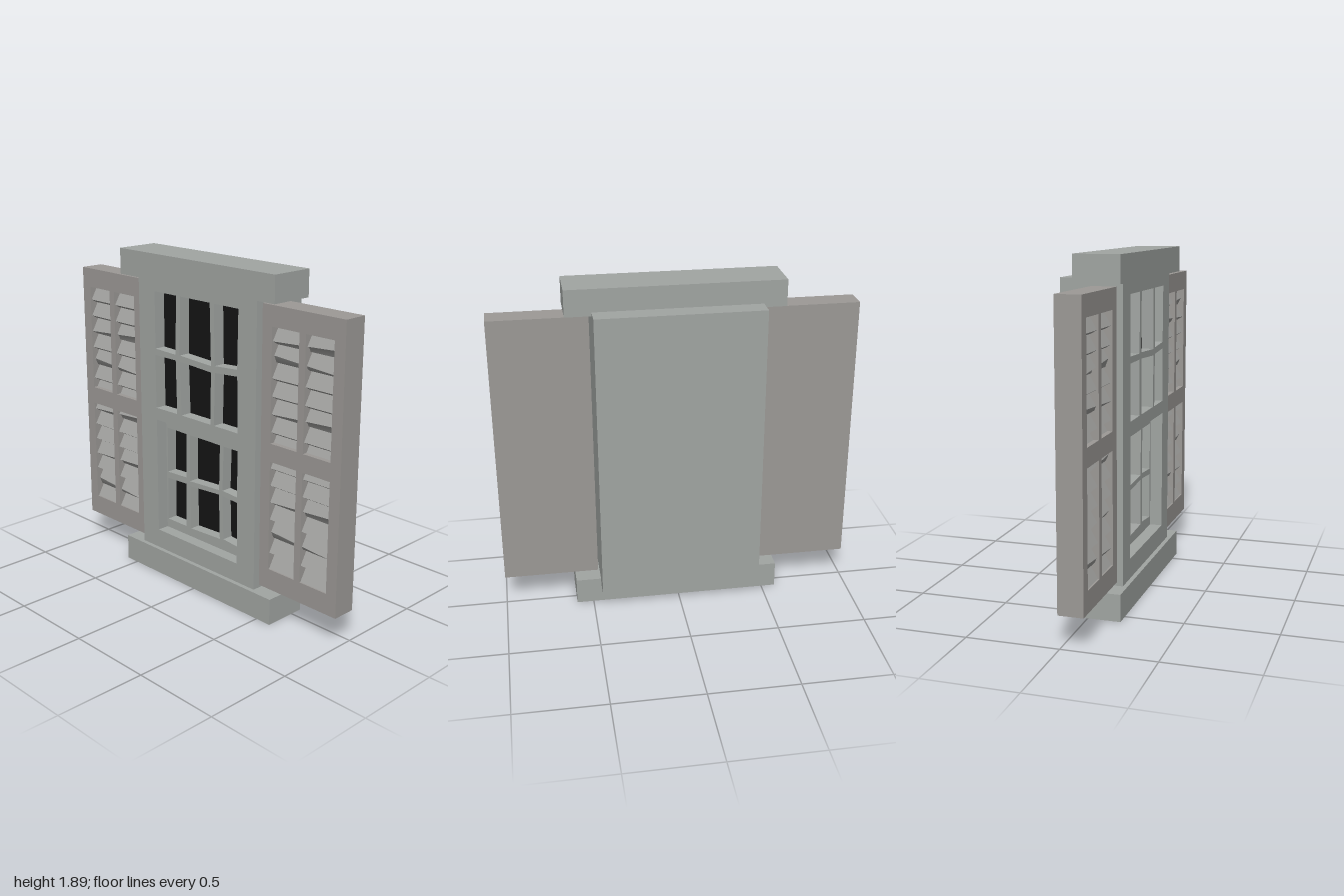
import * as THREE from 'three';

const stone = new THREE.MeshStandardMaterial({ color: 0xa1a5a2 });
const wood = new THREE.MeshStandardMaterial({ color: 0x9c9996 });
const slatMat = new THREE.MeshStandardMaterial({ color: 0xa0a09e });
const dark = new THREE.MeshStandardMaterial({ color: 0x141414 });

function add(parent, name, geometry, material) {
  const mesh = new THREE.Mesh(geometry, material);
  mesh.name = name;
  parent.add(mesh);
  return mesh;
}

// Box given by its limits on each axis
function box(parent, name, [x0, x1], [y0, y1], [z0, z1], material) {
  const mesh = add(parent, name, new THREE.BoxGeometry(x1 - x0, y1 - y0, z1 - z0), material);
  mesh.position.set((x0 + x1) / 2, (y0 + y1) / 2, (z0 + z1) / 2);
}

// Counter-clockwise, so that the extrusion also turns its holes the right way
const rect = (x0, x1, y0, y1) => [[x0, y0], [x1, y0], [x1, y1], [x0, y1]];
const points = (corners) => corners.map(([x, y]) => new THREE.Vector2(x, y));

// Flat panel between z0 and z1, cut by four-cornered holes
function panel(parent, name, outline, holes, [z0, z1], material) {
  const shape = new THREE.Shape(points(outline));
  for (const hole of holes) shape.holes.push(new THREE.Path(points(hole)));
  const geometry = new THREE.ExtrudeGeometry(shape, { depth: z1 - z0, bevelEnabled: false });
  geometry.translate(0, 0, z0);
  add(parent, name, geometry, material);
}

// Slightly crooked panes: corners run top left, top right, bottom right, bottom left
const upperPanes = [
  [[-0.323, 1.678], [-0.148, 1.678], [-0.157, 1.35], [-0.323, 1.355]],
  [[-0.117, 1.678], [0.113, 1.678], [0.122, 1.34], [-0.123, 1.352]],
  [[0.144, 1.678], [0.323, 1.678], [0.317, 1.357], [0.15, 1.345]],
  [[-0.325, 1.318], [-0.156, 1.318], [-0.149, 1.012], [-0.323, 1.01]],
  [[-0.123, 1.318], [0.122, 1.304], [0.116, 1.012], [-0.113, 1.012]],
  [[0.152, 1.308], [0.318, 1.32], [0.323, 1.012], [0.144, 1.012]],
];
const lowerPanes = [
  [[-0.31, 0.878], [-0.152, 0.878], [-0.156, 0.615], [-0.313, 0.608]],
  [[-0.123, 0.878], [0.119, 0.878], [0.113, 0.613], [-0.125, 0.6]],
  [[0.148, 0.878], [0.309, 0.878], [0.304, 0.606], [0.14, 0.617]],
  [[-0.308, 0.57], [-0.156, 0.576], [-0.158, 0.312], [-0.313, 0.312]],
  [[-0.123, 0.57], [0.112, 0.586], [0.119, 0.32], [-0.117, 0.31]],
  [[0.14, 0.586], [0.304, 0.573], [0.309, 0.312], [0.148, 0.327]],
];

function createWindow() {
  const group = new THREE.Group();
  group.name = 'window';
  const body = rect(-0.455, 0.453, 0.113, 1.765);
  box(group, 'backBlock', [-0.455, 0.453], [0.113, 1.765], [-0.18, 0.02], stone);
  panel(group, 'lowerSash', body, lowerPanes, [0.02, 0.085], stone);
  panel(group, 'frontFrame', body, [...upperPanes, rect(-0.322, 0.323, 0.26, 0.94)], [0.085, 0.155], stone);
  box(group, 'upperGlass', [-0.34, 0.335], [1.0, 1.69], [0.076, 0.087], dark);
  box(group, 'lowerGlass', [-0.33, 0.325], [0.3, 0.89], [0.012, 0.022], dark);
  // Lintel above and sill below
  box(group, 'lintel', [-0.58, 0.595], [1.745, 1.89], [-0.07, 0.18], stone);
  box(group, 'sill', [-0.58, 0.595], [0, 0.149], [-0.07, 0.18], stone);
  return group;
}

// Leaning louvre with its origin on the lower front edge; lift raises that edge
// at the +x end, or at the -x end when negative
function slatGeometry(width, lift) {
  const length = 0.1, thickness = 0.036;
  const geometry = new THREE.BoxGeometry(width, length, thickness);
  geometry.translate(0, length / 2, -thickness / 2);
  const position = geometry.attributes.position;
  for (let i = 0; i < position.count; i++) {
    const lowerFront = position.getY(i) < length / 2 && position.getZ(i) > -thickness / 2;
    if (lowerFront && position.getX(i) * lift > 0) position.setY(i, Math.abs(lift));
  }
  geometry.computeVertexNormals();
  return geometry.rotateX(-Math.PI / 6);
}

// Shutter with two banks of louvres; lifts lists the crooked slats of each bank
function createShutter(name, x0, x1, columns, lifts) {
  const group = new THREE.Group();
  group.name = name;
  // Bottom and top of each bank, and the height of its first slat's lower edge
  const banks = [[1.0, 1.615, 1.538], [0.29, 0.9, 0.862]];
  const holes = banks.flatMap(([y0, y1]) => columns.map(([a, b]) => rect(a, b, y0, y1)));
  panel(group, 'shutterFrame', rect(x0, x1, 0.173, 1.725), holes, [0.03, 0.125], wood);
  box(group, 'shutterBack', [x0, x1], [0.173, 1.725], [-0.01, 0.03], wood);

  const left = columns[0][0], right = columns[1][1];
  banks.forEach(([, , first], bank) => {
    for (let i = 0; i < 7; i++) {
      const geometry = slatGeometry(right - left + 0.02, lifts[bank][i] || 0);
      const mesh = add(group, 'slat', geometry, slatMat);
      mesh.position.set((left + right) / 2, first - 0.0957 * i, 0.118);
    }
  });
  return group;
}

export function createModel() {
  const model = new THREE.Group();
  model.name = 'shutteredWindow';
  model.add(
    createWindow(),
    createShutter('rightShutter', -1, -0.467, [[-0.935, -0.756], [-0.715, -0.536]],
      [{ 2: 0.03, 4: -0.025 }, { 0: 0.025, 3: 0.018, 5: -0.028 }]),
    createShutter('leftShutter', 0.464, 1, [[0.53, 0.711], [0.753, 0.933]],
      [{ 0: 0.025, 1: -0.025, 4: 0.025 }, { 2: 0.025, 4: -0.025 }]),
  );
  return model;
}
